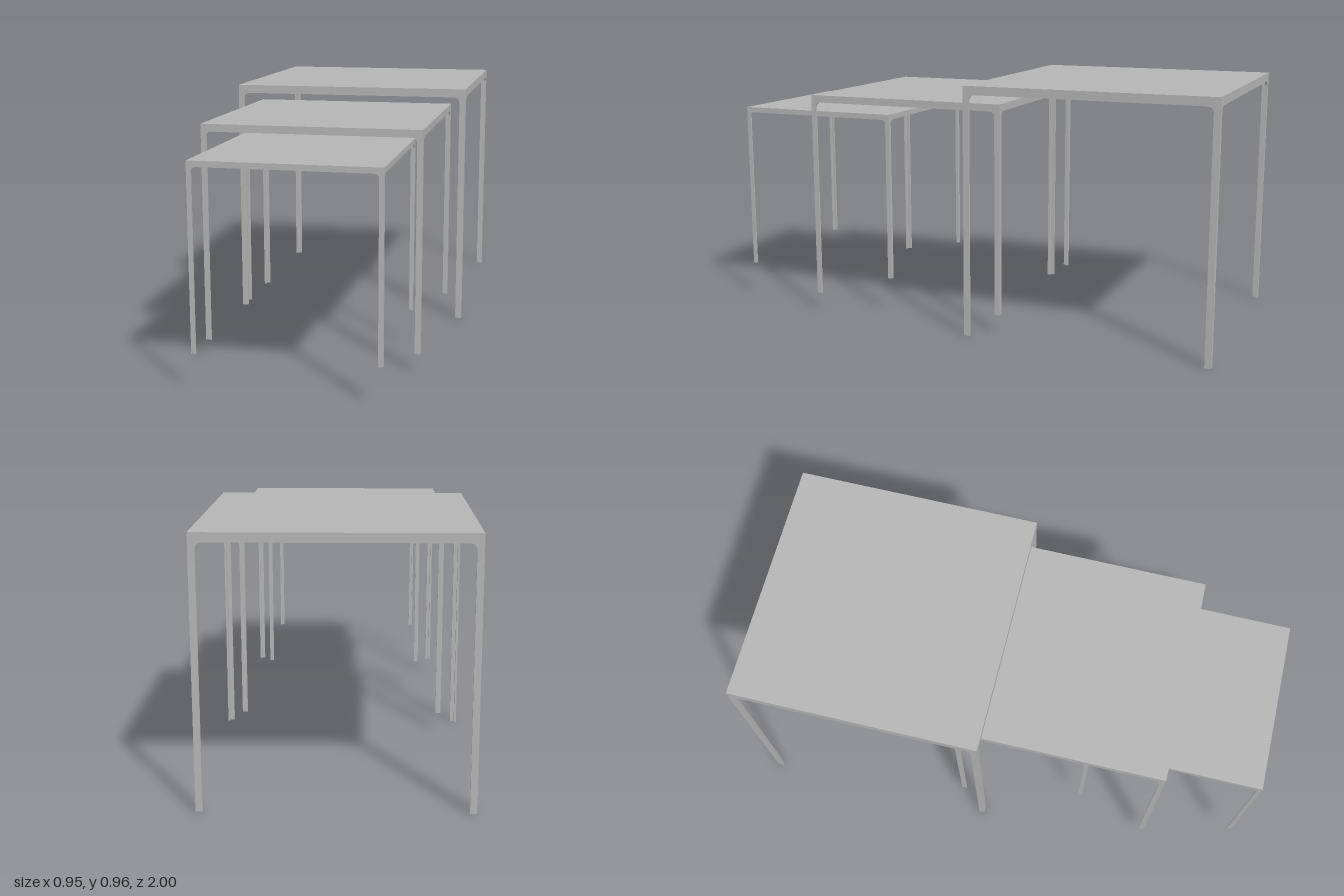
import * as THREE from 'three';

const metal = new THREE.MeshStandardMaterial({ color: 0xb4b4b4 });
metal.name = 'grey metal';

// Upside-down U: two legs and a rail with rounded inner corners
function archGeometry(half, height, leg, rail, radius, thickness) {
  const inner = half - leg, under = height - rail;
  const s = new THREE.Shape();
  s.moveTo(-half, 0);
  s.lineTo(-inner, 0);
  s.lineTo(-inner, under - radius);
  s.absarc(-inner + radius, under - radius, radius, Math.PI, Math.PI / 2, true);
  s.lineTo(inner - radius, under);
  s.absarc(inner - radius, under - radius, radius, Math.PI / 2, 0, true);
  s.lineTo(inner, 0);
  s.lineTo(half, 0);
  s.lineTo(half, height);
  s.lineTo(-half, height);
  s.closePath();
  return new THREE.ExtrudeGeometry(s, { depth: thickness, bevelEnabled: false, curveSegments: 8 });
}

// Table with angle-section legs and a thin rail under a flat top
function makeTable(name, { width, depth, height, leg, rail, radius }) {
  const table = new THREE.Group();
  table.name = name;
  const t = leg * 0.35;
  const add = (geometry, partName) => {
    const mesh = new THREE.Mesh(geometry, metal);
    mesh.name = partName;
    table.add(mesh);
    return mesh;
  };

  // Front and back frames span the full width
  const wide = archGeometry(width / 2, height, leg, rail, radius, t);
  add(wide, 'frontFrame').position.z = depth / 2 - t;
  add(wide, 'backFrame').position.z = -depth / 2;

  // Side frames fit between them
  const side = archGeometry(depth / 2 - t, height, leg - t, rail, radius, t);
  for (const [x, partName] of [[width / 2 - t, 'leftFrame'], [-width / 2, 'rightFrame']]) {
    const frame = add(side, partName);
    frame.rotation.y = Math.PI / 2;
    frame.position.x = x;
  }

  // Top sheet, flush with the frame
  const sheet = rail * 0.4;
  add(new THREE.BoxGeometry(width - 2 * t, sheet, depth - 2 * t), 'tableTop').position.y = height - sheet / 2;
  return table;
}

export function createModel() {
  const model = new THREE.Group();
  model.name = 'nestingTables';
  const tables = [
    ['largeTable', { width: 0.951, depth: 0.951, height: 0.957, leg: 0.024, rail: 0.033, radius: 0.022 }, 0, -0.5245],
    ['mediumTable', { width: 0.808, depth: 0.808, height: 0.813, leg: 0.0205, rail: 0.028, radius: 0.019 }, 0.072, 0.238],
    ['smallTable', { width: 0.664, depth: 0.664, height: 0.667, leg: 0.0165, rail: 0.021, radius: 0.016 }, 0.145, 0.668],
  ];
  for (const [name, size, y, z] of tables) {
    const table = makeTable(name, size);
    table.position.set(0, y, z);
    model.add(table);
  }
  return model;
}
